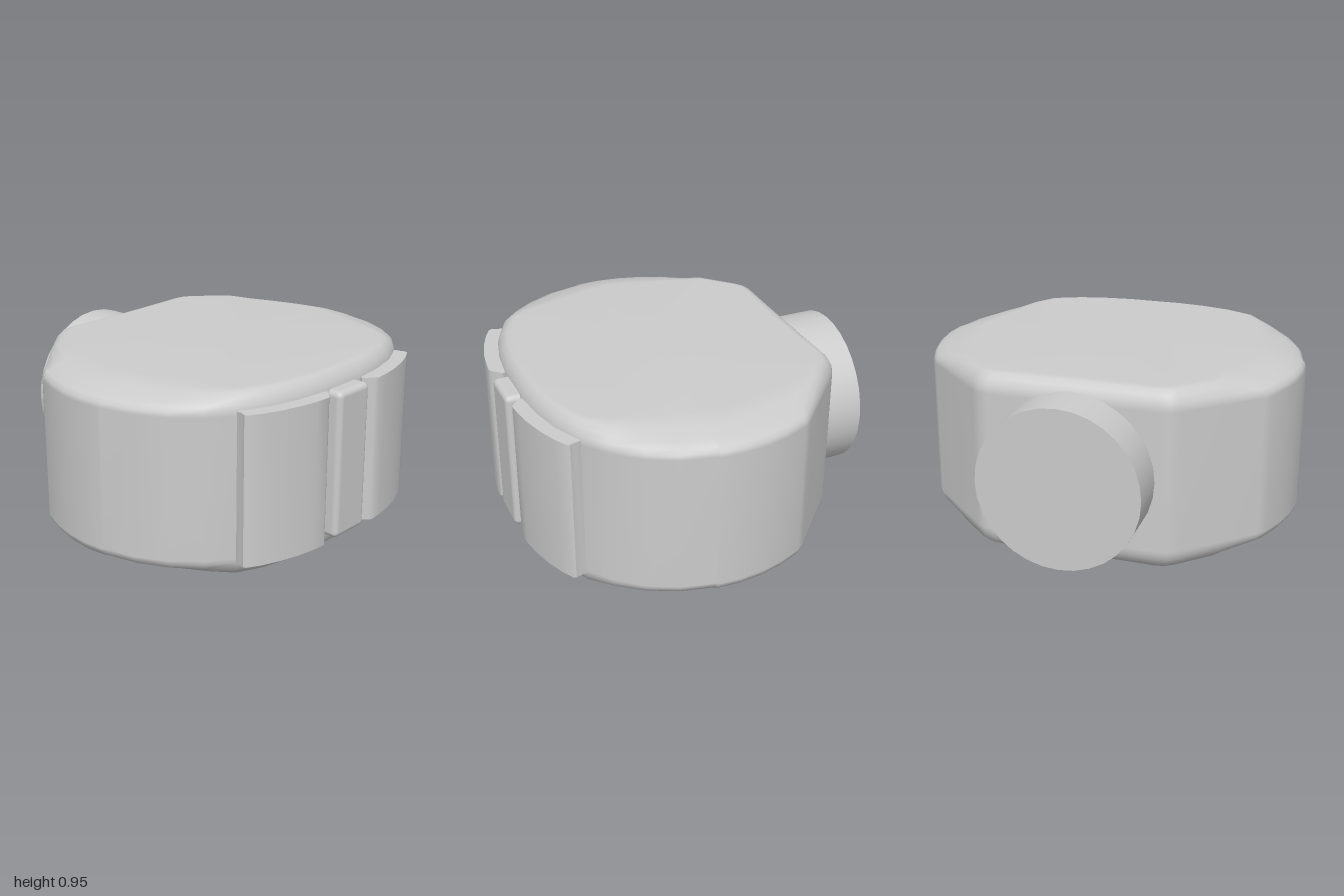
import * as THREE from 'three';
import { toCreasedNormals } from 'three/addons/utils/BufferGeometryUtils.js';
import { RoundedBoxGeometry } from 'three/addons/geometries/RoundedBoxGeometry.js';

const material = new THREE.MeshStandardMaterial({ color: 0xcccccc, roughness: 0.7 });
const HEIGHT = 0.953;

// Half plan of the case as [x, z], from the flat knob side round to the button side
const HALF_PLAN = [
  [-0.71, 0], [-0.71, 0.25], [-0.71, 0.44], [-0.7, 0.49], [-0.67, 0.535], [-0.51, 0.71],
  [-0.36, 0.875], [-0.32, 0.905], [-0.2, 0.955], [-0.08, 0.987], [0.05, 1], [0.172, 0.994],
  [0.18, 0.984], [0.35, 0.945], [0.5, 0.87], [0.63, 0.76], [0.73, 0.63], [0.8, 0.48],
  [0.84, 0.32], [0.86, 0.15], [0.86, 0],
];

// Edge rounding: [inset share, height share when narrow, height share when wide]
const EDGE = [
  [0, 0, 0], [0.03, 0.2, 0.2], [0.1, 0.42, 0.4], [0.3, 0.71, 0.57], [0.62, 0.92, 0.79], [1, 1, 1],
];

function add(group, name, geometry) {
  const mesh = new THREE.Mesh(geometry, material);
  mesh.name = name;
  group.add(mesh);
  return mesh;
}

// Inner outline where the rounded edge meets the flat face; wider at the z ends
function faceOutline([x, z]) {
  const r = Math.hypot(x - 0.08, z);
  const k = 1 - 0.085 / r;
  const fx = 0.08 + (x - 0.08) * k;
  const limit = 0.77 - 0.27 * Math.abs(fx - 0.05);
  return [fx, Math.sign(z) * Math.min(Math.abs(z) * k, limit)];
}

// Case: stacked outlines, with the edge rounding mirrored at top and bottom
function caseGeometry() {
  const mirrored = HALF_PLAN.slice(1, -1).reverse().map(([x, z]) => [x, -z]);
  const plan = [...HALF_PLAN, ...mirrored];
  const n = plan.length;
  const levels = [
    ...EDGE.slice().reverse().map((e) => [e, false]),
    ...EDGE.map((e) => [e, true]),
  ];
  const positions = [];
  const index = [];
  for (const [[s, narrow, wide], top] of levels) {
    for (const p of plan) {
      const f = faceOutline(p);
      const inset = Math.hypot(p[0] - f[0], p[1] - f[1]);
      const w = THREE.MathUtils.smoothstep(inset, 0.085, 0.2);
      const y = 0.11 * (1 - THREE.MathUtils.lerp(narrow, wide, w));
      positions.push(
        THREE.MathUtils.lerp(p[0], f[0], s), top ? HEIGHT - y : y,
        THREE.MathUtils.lerp(p[1], f[1], s),
      );
    }
  }
  for (let j = 0; j < levels.length - 1; j++) {
    for (let i = 0; i < n; i++) {
      const a = j * n + i, b = j * n + (i + 1) % n;
      index.push(a, b, b + n, a, b + n, a + n);
    }
  }
  // Flat faces
  const last = (levels.length - 1) * n;
  const bottom = positions.length / 3;
  positions.push(0.08, 0, 0, 0.08, HEIGHT, 0);
  for (let i = 0; i < n; i++) {
    const next = (i + 1) % n;
    index.push(bottom, next, i, bottom + 1, last + i, last + next);
  }
  const geometry = new THREE.BufferGeometry();
  geometry.setAttribute('position', new THREE.Float32BufferAttribute(positions, 3));
  geometry.setIndex(index);
  geometry.computeVertexNormals();
  return geometry;
}

// Curved side pad; side is +1 or -1 along z
function padGeometry(side) {
  const outline = [
    [0.7, 0.62], [0.73, 0.635], [0.76, 0.64], [0.785, 0.65], [0.8, 0.642], [0.835, 0.58],
    [0.875, 0.48], [0.905, 0.37], [0.92, 0.28], [0.927, 0.205], [0.918, 0.188],
    [0.87, 0.14], [0.85, 0.15], [0.8, 0.3],
  ];
  const shape = new THREE.Shape(outline.map(([x, z]) => new THREE.Vector2(x, -z * side)));
  const geometry = new THREE.ExtrudeGeometry(shape, { depth: 0.775, bevelEnabled: false });
  geometry.rotateX(-Math.PI / 2).translate(0, 0.092, 0);
  return toCreasedNormals(geometry, 0.6);
}

export function createModel() {
  const group = new THREE.Group();
  group.name = 'roundedCase';

  add(group, 'case', caseGeometry());

  // Round knob on the flat side
  const knob = new THREE.CylinderGeometry(0.42, 0.42, 0.3, 32).rotateZ(Math.PI / 2);
  add(group, 'knob', knob).position.set(-0.79, 0.48, 0);

  // Centre button flanked by two pads
  const button = new RoundedBoxGeometry(0.115, 0.775, 0.24, 3, 0.03);
  add(group, 'button', button).position.set(0.878, 0.48, 0);
  add(group, 'leftPad', padGeometry(1));
  add(group, 'rightPad', padGeometry(-1));

  return group;
}
